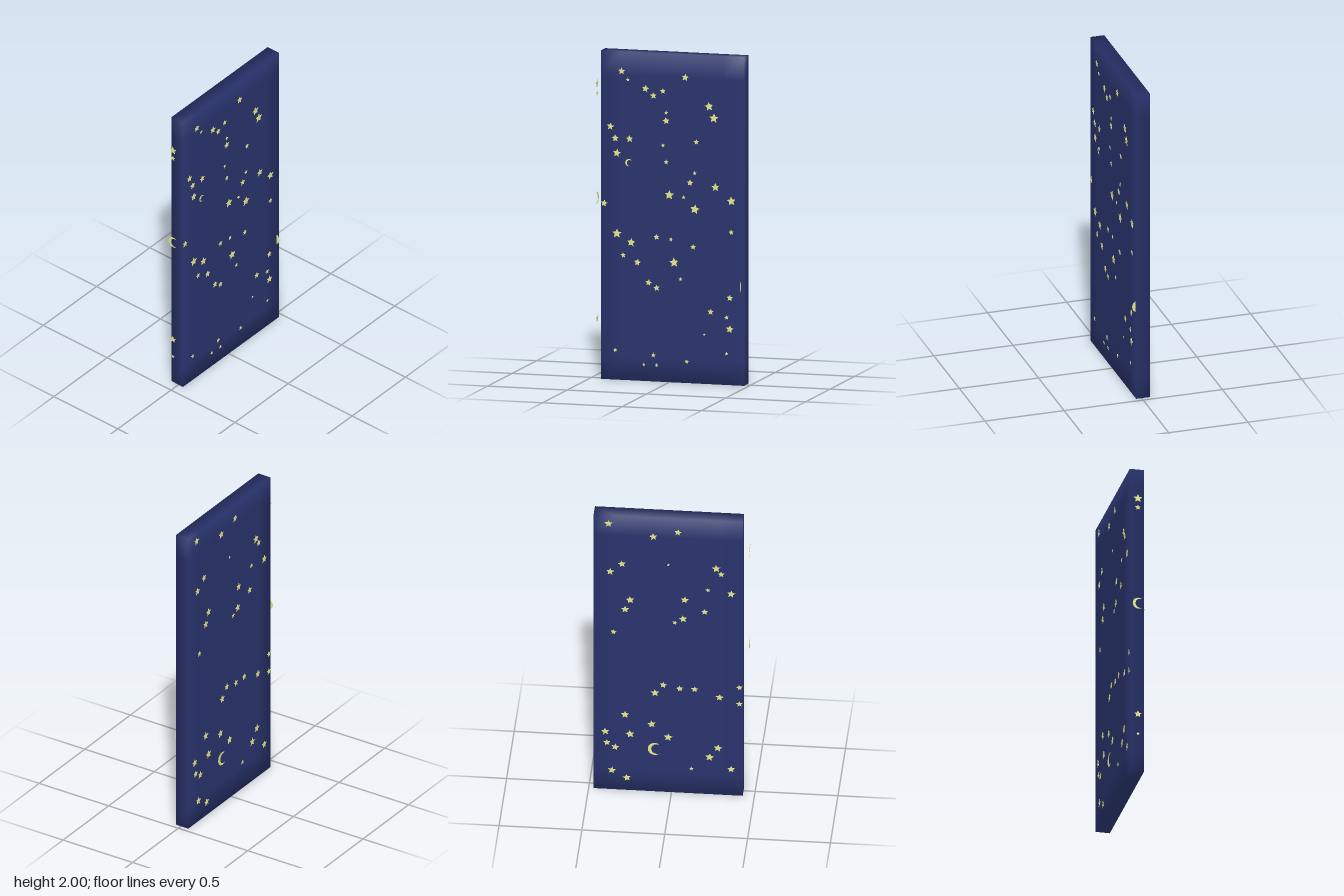
import * as THREE from 'three';
import { mergeVertices } from 'three/addons/utils/BufferGeometryUtils.js';

const navy = new THREE.MeshStandardMaterial({ color: 0x29336d });
navy.name = 'navy';
const paleYellow = new THREE.MeshStandardMaterial({ color: 0xecec8e });
paleYellow.name = 'paleYellow';

// Unit five-pointed star, one point up
function starShape() {
  const points = [];
  for (let i = 0; i < 10; i++) {
    const a = Math.PI / 2 + (i * Math.PI) / 5;
    const r = i % 2 ? 0.48 : 1;
    points.push(new THREE.Vector2(r * Math.cos(a), r * Math.sin(a)));
  }
  return new THREE.Shape(points);
}

// Unit crescent bulging towards -x, horns towards +x
function crescentShape() {
  const shape = new THREE.Shape();
  const horn = 0.9;
  shape.absarc(0, 0, 1, horn, Math.PI * 2 - horn, false);
  const hx = Math.cos(horn), hy = Math.sin(horn);
  const cx = 0.32, r = Math.hypot(hx - cx, hy), a = Math.atan2(hy, hx - cx);
  shape.absarc(cx, 0, r, Math.PI * 2 - a, a, true);
  return shape;
}

const plate = (shape) =>
  new THREE.ExtrudeGeometry(shape, { depth: 1, bevelEnabled: false, curveSegments: 12 });

export function createModel() {
  const model = new THREE.Group();
  model.name = 'starryPanel';

  // Slab with softly shaded edges
  let box = new THREE.BoxGeometry(0.088, 2, 0.9, 1, 14, 7);
  box.deleteAttribute('normal');
  box.deleteAttribute('uv');
  box = mergeVertices(box);
  box.computeVertexNormals();
  const panel = new THREE.Mesh(box, navy);
  panel.name = 'panel';
  panel.position.set(-0.009, 1, -0.02);
  model.add(panel);

  const star = plate(starShape());
  const crescent = plate(crescentShape());

  function decal(group, geometry, name, position, size, turn, depth, tilt = 0) {
    const mesh = new THREE.Mesh(geometry, paleYellow);
    mesh.name = name;
    mesh.position.set(...position);
    mesh.rotation.set(0, turn, tilt);
    mesh.scale.set(size, size, depth);
    group.add(mesh);
  }

  // Stars on the left (+x) face: z, y, radius
  const left = new THREE.Group();
  left.name = 'leftFaceStars';
  [
    [0.30, 1.88, 0.022], [0.26, 1.83, 0.012], [0.15, 1.78, 0.024], [0.1, 1.74, 0.021],
    [0.04, 1.77, 0.018], [-0.1, 1.86, 0.023], [-0.25, 1.69, 0.028], [-0.28, 1.62, 0.03],
    [0.02, 1.64, 0.013], [0.02, 1.59, 0.023], [0.37, 1.54, 0.023], [0.34, 1.47, 0.023],
    [0.25, 1.47, 0.023], [0.33, 1.38, 0.026], [0.04, 1.44, 0.013], [-0.17, 1.47, 0.017],
    [0.02, 1.34, 0.016], [-0.16, 1.28, 0.013], [-0.13, 1.22, 0.021], [0, 1.14, 0.03],
    [-0.09, 1.13, 0.012], [-0.16, 1.06, 0.031], [-0.29, 1.2, 0.026], [-0.39, 1.12, 0.028],
    [0.41, 1.07, 0.022], [-0.39, 0.93, 0.017], [0.33, 0.89, 0.03], [0.24, 0.84, 0.027],
    [0.08, 0.88, 0.019], [-0.01, 0.87, 0.013], [-0.15, 0.83, 0.018], [0.29, 0.76, 0.018],
    [0.2, 0.72, 0.023], [-0.03, 0.73, 0.03], [-0.07, 0.63, 0.013], [0.13, 0.6, 0.021],
    [0.08, 0.57, 0.02], [-0.38, 0.53, 0.021], [-0.26, 0.44, 0.02], [-0.36, 0.41, 0.015],
    [-0.38, 0.34, 0.025], [-0.22, 0.3, 0.008], [0.34, 0.18, 0.013], [0.1, 0.16, 0.015],
    [0.16, 0.1, 0.011], [0.08, 0.1, 0.012], [-0.11, 0.13, 0.013], [-0.36, 0.19, 0.011],
  ].forEach(([z, y, r], i) =>
    decal(left, star, 'star', [0.0345, y, z], r, Math.PI / 2, 0.003, 0.15 * Math.sin(i * 2.3)));
  decal(left, crescent, 'crescent', [0.0345, 1.325, 0.255], 0.022, Math.PI / 2, 0.003, -0.4);
  model.add(left);

  // Stars on the right (-x) face: z, y, radius
  const right = new THREE.Group();
  right.name = 'rightFaceStars';
  [
    [-0.38, 1.94, 0.025], [-0.11, 1.86, 0.025], [0.04, 1.9, 0.022], [0.27, 1.65, 0.027],
    [0.3, 1.61, 0.021], [0.36, 1.47, 0.026], [-0.3, 1.65, 0.024], [-0.37, 1.59, 0.025],
    [-0.02, 1.66, 0.01], [0.22, 1.49, 0.015], [0.08, 1.41, 0.025], [0.2, 1.33, 0.022],
    [0.07, 1.27, 0.026], [0.02, 1.24, 0.015], [-0.25, 1.39, 0.026], [-0.28, 1.32, 0.025],
    [-0.35, 1.15, 0.018], [0.41, 0.79, 0.02], [0.29, 0.71, 0.025], [0.14, 0.76, 0.022],
    [0.05, 0.76, 0.022], [-0.05, 0.78, 0.022], [-0.1, 0.72, 0.026], [0.41, 0.67, 0.02],
    [0.28, 0.34, 0.026], [-0.12, 0.49, 0.026], [-0.28, 0.55, 0.026], [-0.02, 0.4, 0.027],
    [-0.25, 0.41, 0.028], [0.23, 0.27, 0.027], [0.36, 0.19, 0.024], [-0.4, 0.42, 0.025],
    [-0.34, 0.31, 0.024], [-0.39, 0.34, 0.022], [0.12, 0.18, 0.014], [-0.36, 0.14, 0.025],
    [-0.27, 0.09, 0.025],
  ].forEach(([z, y, r], i) =>
    decal(right, star, 'star', [-0.0525, y, z], r, -Math.PI / 2, 0.003, 0.15 * Math.sin(i * 2.3)));
  decal(right, crescent, 'crescent', [-0.0525, 0.31, -0.1], 0.043, -Math.PI / 2, 0.003);
  model.add(right);

  // Thin plates floating just ahead of the front edge
  const front = new THREE.Group();
  front.name = 'frontEdgeDecals';
  [[1.79, 0.028], [1.73, 0.018], [0.36, 0.024], [0.23, 0.012]].forEach(([y, r]) =>
    decal(front, star, 'star', [-0.012, y, 0.468], r, 0, 0.002));
  decal(front, crescent, 'crescent', [-0.008, 1.095, 0.468], 0.036, 0, 0.002);
  model.add(front);

  // Crescent sunk into the rear edge, its curve showing beyond the left face
  const rear = new THREE.Group();
  rear.name = 'rearEdgeDecal';
  decal(rear, crescent, 'crescent', [0.014, 0.6, -0.45], 0.04, Math.PI, 0.002);
  model.add(rear);

  return model;
}
